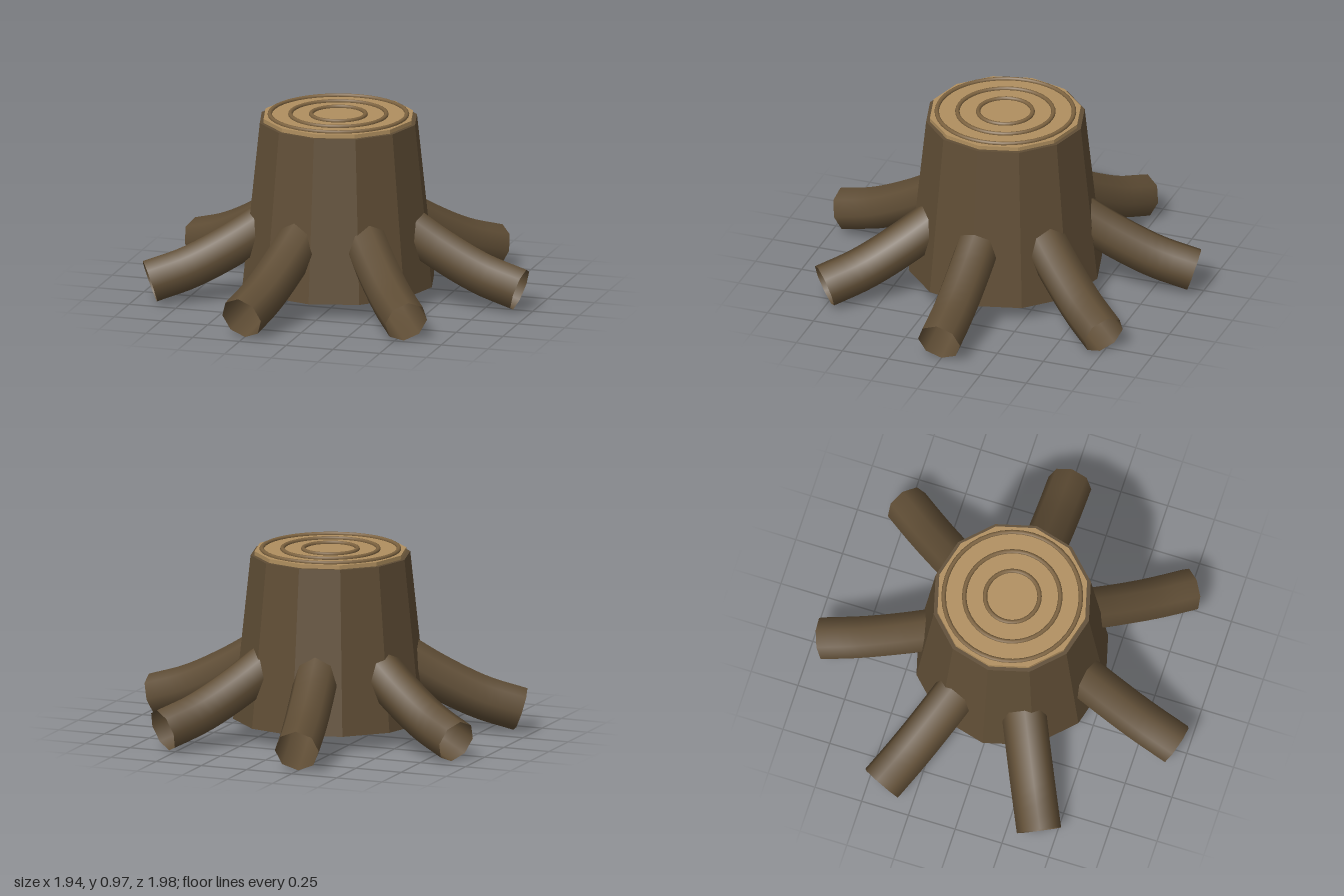
import * as THREE from 'three';

const CENTRE_X = -0.04; // the trunk sits slightly off the footprint centre
const ROOTS = 7;

export function createModel() {
  const bark = new THREE.MeshStandardMaterial({ color: 0x5f4d35, flatShading: true });
  const rootBark = new THREE.MeshStandardMaterial({ color: 0x5f4d35, side: THREE.DoubleSide });
  const cutWood = new THREE.MeshStandardMaterial({ color: 0xb08f5f, flatShading: true });
  const ringWood = new THREE.MeshStandardMaterial({ color: 0x7d6340 });
  bark.name = 'bark';
  rootBark.name = 'rootBark';
  cutWood.name = 'cutWood';
  ringWood.name = 'ringWood';

  const model = new THREE.Group();
  model.name = 'treeStump';
  const add = (name, geometry, material, y = 0) => {
    const mesh = new THREE.Mesh(geometry, material);
    mesh.name = name;
    mesh.position.set(CENTRE_X, y, 0);
    model.add(mesh);
    return mesh;
  };

  // Tapered twelve-sided trunk with a pale cut face
  add('trunk', new THREE.CylinderGeometry(0.41, 0.5, 0.85, 12), bark, 0.508);
  add('cutFace', new THREE.CylinderGeometry(0.39, 0.39, 0.025, 12), cutWood, 0.941);

  // Growth rings, slightly raised from the cut face
  [0.35, 0.245, 0.139].forEach((radius, i) => {
    const ring = new THREE.TorusGeometry(radius, 0.0115, 8, 40);
    add('growthRing' + (i + 1), ring.rotateX(Math.PI / 2), ringWood, 0.957);
  });

  // Open eight-sided roots curving down and out around the trunk
  const path = new THREE.CatmullRomCurve3([
    new THREE.Vector3(0.33, 0.42, 0),
    new THREE.Vector3(0.54, 0.29, 0),
    new THREE.Vector3(0.765, 0.177, 0),
    new THREE.Vector3(0.97, 0.11, 0),
  ]);
  const rootGeometry = new THREE.TubeGeometry(path, 12, 0.114, 8, false);
  for (let i = 0; i < ROOTS; i++) {
    add('root' + (i + 1), rootGeometry, rootBark).rotation.y = (i / ROOTS) * Math.PI * 2;
  }

  return model;
}
